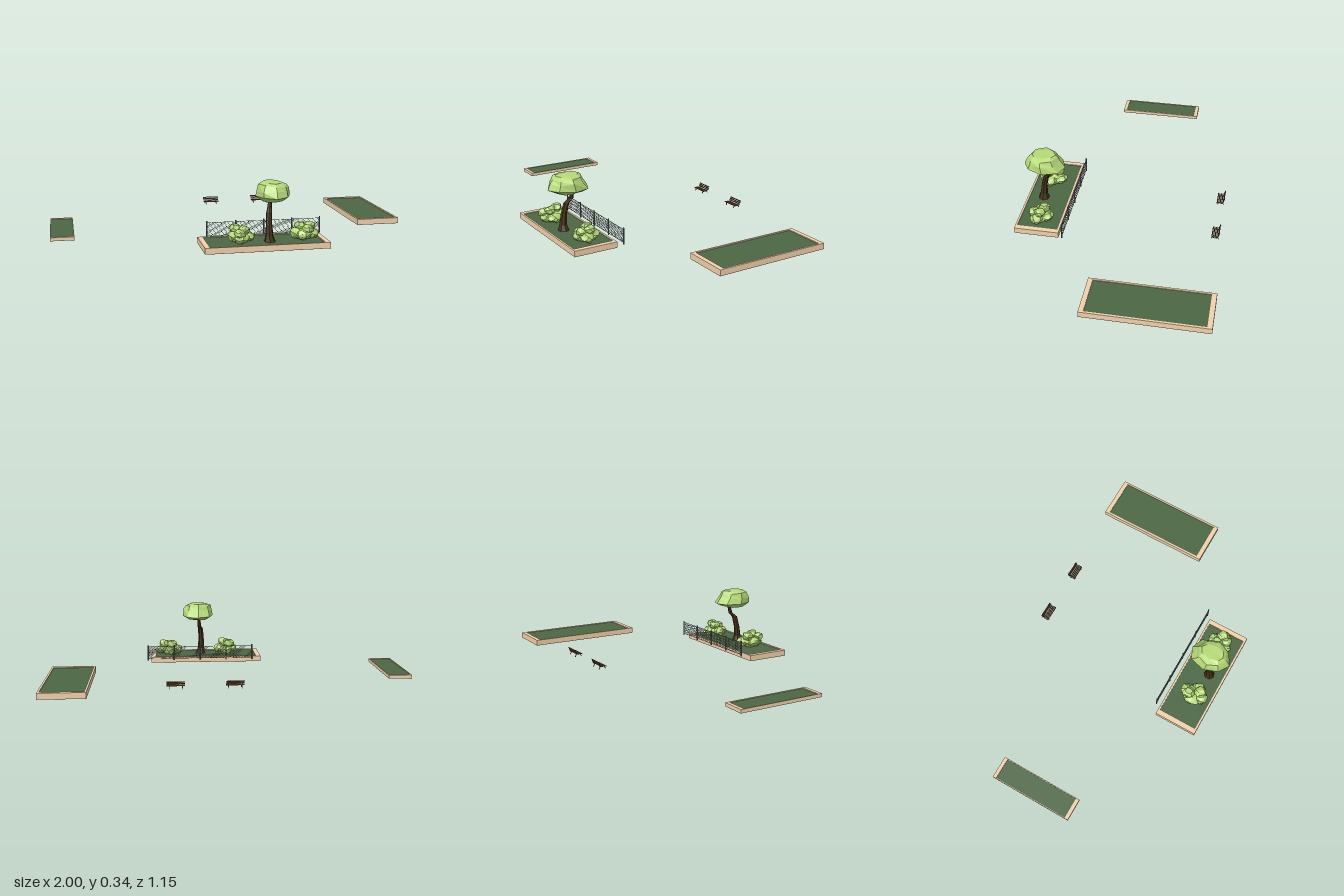
import * as THREE from 'three';
import { mergeGeometries } from 'three/addons/utils/BufferGeometryUtils.js';

const mat = color => new THREE.MeshStandardMaterial({ color, flatShading: true });
const wood = mat(0xf2d0aa), grass = mat(0x4c6744), leaf = mat(0xb6da78), bark = mat(0x463019);
const metal = mat(0x646b72), slat = mat(0x6b452a), iron = mat(0x3a3632);

function add(parent, name, geometry, material) {
  const mesh = new THREE.Mesh(geometry, material);
  mesh.name = name;
  parent.add(mesh);
}

function group(parent, name) {
  const g = new THREE.Group();
  g.name = name;
  parent.add(g);
  return g;
}

// Box given by its minimum and maximum corners
function span(x0, x1, y0, y1, z0, z1) {
  return new THREE.BoxGeometry(x1 - x0, y1 - y0, z1 - z0)
    .translate((x0 + x1) / 2, (y0 + y1) / 2, (z0 + z1) / 2);
}

// Bar of square section between two points
function bar(a, b, t) {
  const d = b.clone().sub(a);
  const g = new THREE.BoxGeometry(t, d.length(), t);
  g.applyQuaternion(new THREE.Quaternion().setFromUnitVectors(new THREE.Vector3(0, 1, 0), d.normalize()));
  return g.translate((a.x + b.x) / 2, (a.y + b.y) / 2, (a.z + b.z) / 2);
}

// Rim with a hole, filled with grass
function planter(parent, name, [x0, x1, z0, z1], [rx, rz], y0, y1) {
  const g = group(parent, name);
  const rect = (S, a, b, c, d) => new S([[a, c], [b, c], [b, d], [a, d]].map(p => new THREE.Vector2(...p)));
  const shape = rect(THREE.Shape, x0, x1, -z1, -z0);
  shape.holes.push(rect(THREE.Path, x0 + rx, x1 - rx, -z1 + rz, -z0 - rz));
  const rim = new THREE.ExtrudeGeometry(shape, { depth: y1 - y0 - 0.001, bevelEnabled: false });
  add(g, 'rim', rim.rotateX(-Math.PI / 2).translate(0, y0 + 0.001, 0), wood);
  add(g, 'grass', span(x0 + rx, x1 - rx, y0 + 0.001, y1 - 0.004, z0 + rz, z1 - rz), grass);
  add(g, 'base', span(x0, x1, y0, y0 + 0.001, z0, z1), grass);
}

// Closed loft through rings of points, listed from the bottom up
function loft(rings) {
  const n = rings[0].length, pos = [], idx = [];
  const mid = ring => ring.reduce((s, p) => s.add(p), new THREE.Vector3()).divideScalar(n);
  rings.forEach(r => r.forEach(p => pos.push(p.x, p.y, p.z)));
  for (let i = 0; i < rings.length - 1; i++) {
    for (let j = 0; j < n; j++) {
      const a = i * n + j, b = i * n + (j + 1) % n;
      idx.push(a, b, a + n, b, b + n, a + n);
    }
  }
  const last = (rings.length - 1) * n, c = rings.length * n;
  for (const r of [rings[0], rings.at(-1)]) pos.push(...mid(r).toArray());
  for (let j = 0; j < n; j++) {
    const k = (j + 1) % n;
    idx.push(c, k, j, c + 1, last + j, last + k);
  }
  const g = new THREE.BufferGeometry();
  g.setAttribute('position', new THREE.Float32BufferAttribute(pos, 3));
  g.setIndex(idx);
  g.computeVertexNormals();
  return g;
}

const noise = (a, b, c) => {
  const s = Math.sin(a * 12.99 + b * 78.23 + c * 37.72) * 437.58;
  return s - Math.floor(s);
};

// Counter-clockwise ring as seen from above
function ring(x, y, z, rx, rz, n, jitter = 0, dy = 0) {
  return Array.from({ length: n }, (_, j) => {
    const a = -j / n * Math.PI * 2, k = 1 - jitter * noise(j, y * 50, 1);
    return new THREE.Vector3(x + Math.cos(a) * rx * k, y + dy * (noise(j, y * 50, 2) - 0.5), z + Math.sin(a) * rz * k);
  });
}

// Irregular faceted lump of foliage
function lump(x, y, z, rx, ry, rz, seed) {
  const g = new THREE.IcosahedronGeometry(1, 1);
  const p = g.attributes.position, v = new THREE.Vector3();
  for (let i = 0; i < p.count; i++) {
    v.fromBufferAttribute(p, i);
    const q = v.toArray().map(c => Math.round(c * 100));
    v.multiplyScalar(1.1 - 0.36 * noise(q[0] + seed, q[1], q[2]));
    p.setXYZ(i, x + v.x * rx, y + v.y * ry, z + v.z * rz);
  }
  g.computeVertexNormals();
  return g;
}

function bush(parent, name, lumps) {
  add(parent, name, mergeGeometries(lumps.map((l, i) => lump(...l, i * 1.7))), leaf);
}

function tree(parent) {
  const g = group(parent, 'tree');
  const trunk = [
    [0.13, 0.028, 0.482, 0.031], [0.127, 0.06, 0.482, 0.021], [0.126, 0.12, 0.476, 0.017],
    [0.13, 0.18, 0.462, 0.016], [0.138, 0.205, 0.437, 0.012], [0.144, 0.26, 0.427, 0.009],
  ];
  add(g, 'trunk', loft(trunk.map(([x, y, z, r]) => ring(x, y, z, r, r, 7))), bark);
  // Height, centre z, radii and unevenness of each ring
  const crown = [
    [0.244, 0.465, 0.058, 0.055, 0.005], [0.254, 0.46, 0.078, 0.088, 0.01], [0.269, 0.457, 0.094, 0.124, 0.008],
    [0.305, 0.465, 0.091, 0.1, 0.018], [0.329, 0.467, 0.08, 0.085, 0.012], [0.342, 0.465, 0.046, 0.07, 0.006],
  ];
  add(g, 'crown', loft(crown.map(([y, z, rx, rz, dy]) => ring(0.146, y, z, rx, rz, 8, 0.1, dy))), leaf);
}

function fence(parent) {
  const g = group(parent, 'fence');
  const x0 = -0.173, x1 = 0.454, y0 = 0.03, y1 = 0.102, z = 0.3, h = y1 - y0;
  const posts = [], wires = [];
  for (let i = 0; i < 5; i++) {
    const x = x0 + (x1 - x0) * i / 4;
    posts.push(new THREE.CylinderGeometry(0.004, 0.004, 0.09, 8).translate(x, 0.065, z));
  }
  add(g, 'posts', mergeGeometries(posts), metal);
  add(g, 'rails', mergeGeometries([y0, y1].map(y => span(x0, x1, y - 0.001, y + 0.001, z - 0.001, z + 0.001))), metal);
  // Diagonal wires clipped to the ends of the fence
  for (let s = x0 - h + 0.006; s < x1; s += 0.009) {
    const a = Math.max(s, x0), b = Math.min(s + h, x1);
    for (const m of [1, -1]) {
      const at = x => new THREE.Vector3(m > 0 ? x : x0 + x1 - x, y0 + x - s, z + m * 0.0004);
      wires.push(bar(at(a), at(b), 0.0007));
    }
  }
  add(g, 'wireMesh', mergeGeometries(wires), metal);
}

function bench(parent, name, cx) {
  const g = group(parent, name);
  const w = 0.047, seat = [], back = [], frame = [];
  for (let i = 0; i < 4; i++) {
    const z = -0.506 - i * 0.0085;
    seat.push(span(-w, w, 0.048, 0.0505, z - 0.003, z + 0.003));
  }
  for (let i = 0; i < 3; i++) {
    back.push(new THREE.BoxGeometry(2 * w, 0.006, 0.0025).rotateX(-0.3)
      .translate(0, 0.055 + i * 0.0082, -0.539 - i * 0.0026));
  }
  const V = (x, y, z) => new THREE.Vector3(x, y, z);
  for (const x of [-0.034, 0.034]) {
    frame.push(bar(V(x, 0.033, -0.505), V(x, 0.048, -0.508), 0.003));
    frame.push(bar(V(x, 0.033, -0.542), V(x, 0.048, -0.534), 0.003));
    frame.push(bar(V(x, 0.047, -0.504), V(x, 0.047, -0.537), 0.0028));
    frame.push(bar(V(x, 0.047, -0.537), V(x, 0.074, -0.547), 0.0028));
  }
  add(g, 'seat', mergeGeometries(seat), slat);
  add(g, 'backrest', mergeGeometries(back), slat);
  add(g, 'frame', mergeGeometries(frame), iron);
  g.position.x = cx;
}

export function createModel() {
  const model = new THREE.Group();
  model.name = 'parkGarden';

  planter(model, 'leftPlanter', [0.751, 1, -0.576, 0.088], [0.011, 0.026], 0, 0.033);
  planter(model, 'frontPlanter', [-0.23, 0.435, 0.326, 0.575], [0.028, 0.011], 0, 0.033);
  planter(model, 'rightPlanter', [-1, -0.872, -0.287, 0.199], [0.004, 0.02], 0.014, 0.033);

  tree(model);
  bush(model, 'rightBush', [
    [-0.025, 0.056, 0.465, 0.06, 0.03, 0.07], [-0.06, 0.06, 0.468, 0.038, 0.027, 0.046],
    [0.015, 0.06, 0.472, 0.036, 0.027, 0.045], [-0.025, 0.058, 0.51, 0.042, 0.028, 0.034],
    [-0.022, 0.06, 0.42, 0.038, 0.03, 0.04], [-0.045, 0.095, 0.435, 0.034, 0.027, 0.036],
    [-0.012, 0.098, 0.49, 0.034, 0.027, 0.036], [-0.038, 0.086, 0.52, 0.03, 0.026, 0.034],
  ]);
  bush(model, 'leftBush', [
    [0.322, 0.056, 0.45, 0.066, 0.03, 0.06], [0.278, 0.06, 0.45, 0.038, 0.029, 0.04],
    [0.366, 0.06, 0.46, 0.037, 0.029, 0.04], [0.315, 0.058, 0.488, 0.04, 0.028, 0.033],
    [0.33, 0.06, 0.412, 0.038, 0.03, 0.036], [0.307, 0.095, 0.432, 0.032, 0.026, 0.036],
    [0.355, 0.098, 0.445, 0.034, 0.026, 0.034], [0.335, 0.088, 0.485, 0.03, 0.026, 0.03],
  ]);
  fence(model);
  bench(model, 'rightBench', -0.005);
  bench(model, 'leftBench', 0.3);
  return model;
}
